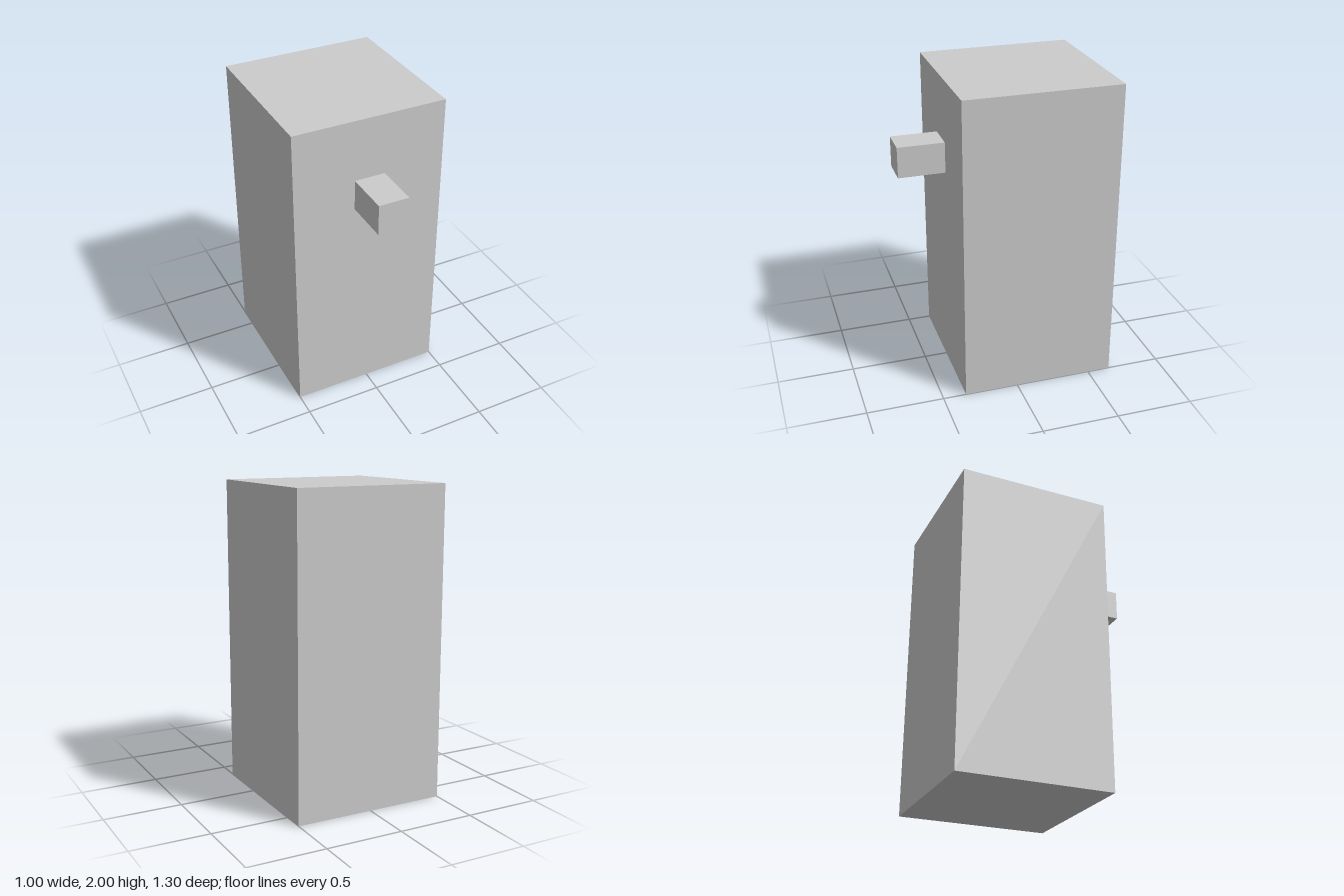
import * as THREE from 'three';

export function createModel() {
  const model = new THREE.Group();
  const material = new THREE.MeshStandardMaterial({ color: 0xcccccc, flatShading: true });

  const addBox = (name, size, position) => {
    const mesh = new THREE.Mesh(new THREE.BoxGeometry(...size), material);
    mesh.name = name;
    mesh.position.set(...position);
    model.add(mesh);
  };

  // Tall square body, standing on the ground
  addBox('body', [1, 2, 1], [0, 1, -0.15]);

  // Small square peg projecting from the front face
  addBox('frontPeg', [0.2, 0.2, 0.3], [0, 1.5, 0.5]);

  return model;
}
